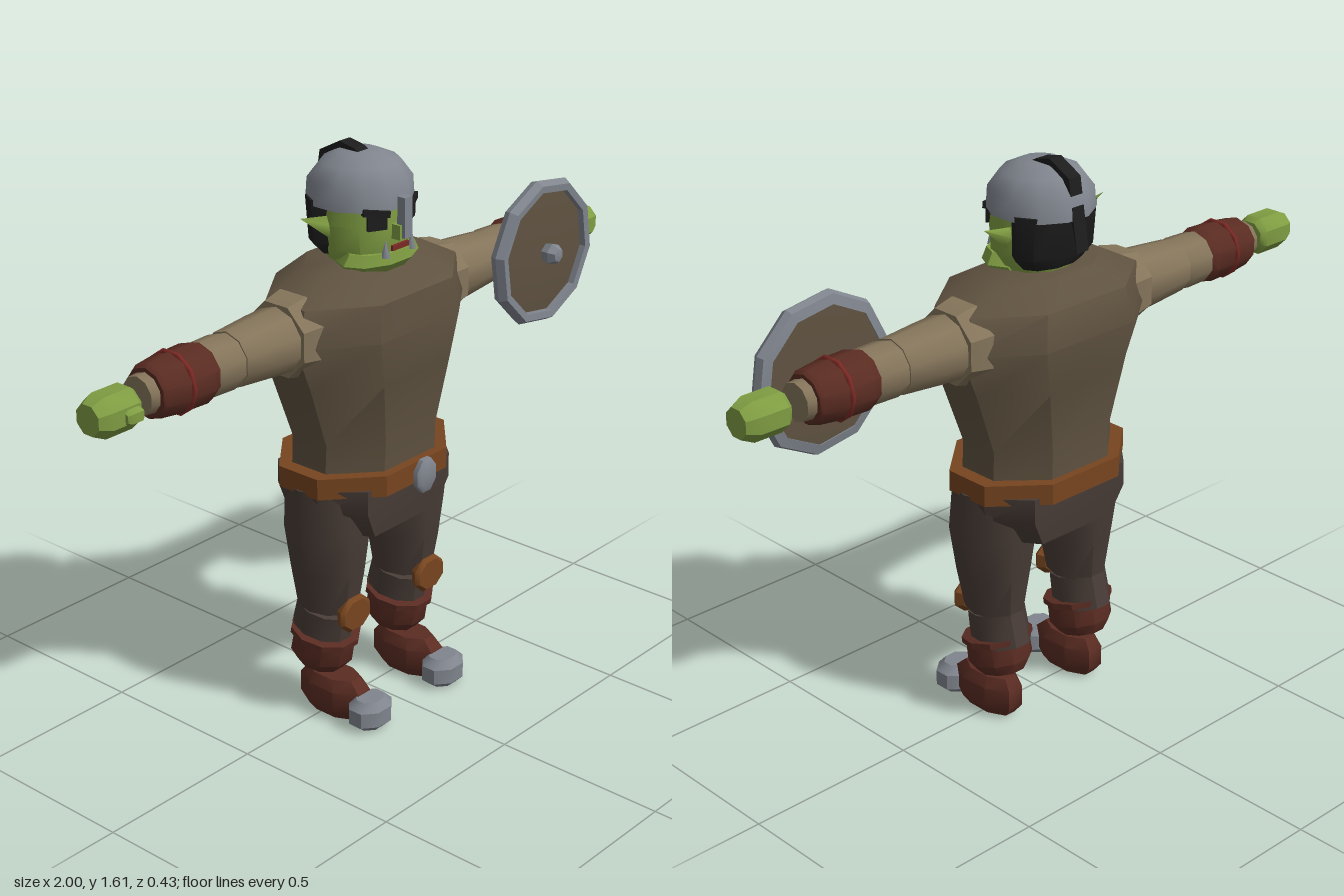
import * as THREE from 'three';
import { toCreasedNormals } from 'three/addons/utils/BufferGeometryUtils.js';

const mat = (name, color) => Object.assign(new THREE.MeshStandardMaterial({ color }), { name });
const M = {
  skin: mat('green skin', 0x7f9d42), vest: mat('brown vest', 0x5f5240),
  sleeve: mat('tan cloth', 0x84745a), pants: mat('dark trousers', 0x483c36),
  boot: mat('oxblood leather', 0x5a2c22), belt: mat('tan leather', 0x77451f),
  metal: mat('grey metal', 0x80858e), black: mat('black hair', 0x1d1d1d),
  red: mat('red cord', 0x7d2a25),
};

// Closed solid through a stack of rings; each ring is a list of [x, y, z]
function loft(rings, crease = 0.7) {
  const n = rings[0].length, pos = rings.flat(2), idx = [];
  const centre = (r) => {
    [0, 1, 2].forEach((k) => pos.push(r.reduce((s, p) => s + p[k], 0) / n));
    return pos.length / 3 - 1;
  };
  const lo = centre(rings[0]), hi = centre(rings[rings.length - 1]), top = (rings.length - 1) * n;
  for (let i = 0; i < n; i++) {
    const j = (i + 1) % n;
    for (let r = 0; r < top; r += n) idx.push(r + i, r + j, r + n + j, r + i, r + n + j, r + n + i);
    idx.push(lo, j, i, hi, top + i, top + j);
  }
  const g = new THREE.BufferGeometry();
  g.setAttribute('position', new THREE.Float32BufferAttribute(pos, 3));
  g.setIndex(idx);
  return toCreasedNormals(g, crease);
}

// Oval solid from rows of [y, half width, front z, back z]
const oval = (rows, n = 10, crease) => loft(rows.map(([y, rx, zf, zb]) =>
  Array.from({ length: n }, (_, i) => {
    const t = ((i + 0.5) / n) * Math.PI * 2;
    return [rx * Math.sin(t), y, (zf + zb) / 2 + ((zf - zb) / 2) * Math.cos(t)];
  })), crease);

// Eight-sided body solid from rows of [y, half width, front z, back z, front half width]
const body = (rows, crease) => loft(rows.map(([y, h, f, b, w = h * 0.47]) => [
  [w, y, f], [h, y, f * 0.3], [h, y, b * 0.42], [w, y, b],
  [-w, y, b], [-h, y, b * 0.42], [-h, y, f * 0.3], [-w, y, f]]), crease);

// Limb piece along x from rows of [x, radius], mirrored by side
const limb = (rows, side, n = 10) =>
  oval(rows.map(([x, r]) => [x, r, r, -r]), n).rotateZ(-side * Math.PI / 2);

function add(parent, name, geo, material, x = 0, y = 0, z = 0) {
  const m = new THREE.Mesh(geo, material);
  m.name = name;
  m.position.set(x, y, z);
  parent.add(m);
  return m;
}
function group(parent, name, x = 0, y = 0, z = 0) {
  const g = new THREE.Group();
  g.name = name;
  g.position.set(x, y, z);
  parent.add(g);
  return g;
}
const box = (w, h, d) => new THREE.BoxGeometry(w, h, d);

function buildBody(root) {
  const g = group(root, 'body');
  add(g, 'vest', body([
    [0.72, 0.225, 0.15, -0.18], [0.84, 0.22, 0.155, -0.18], [1.02, 0.285, 0.175, -0.2],
    [1.15, 0.34, 0.185, -0.215], [1.25, 0.305, 0.175, -0.2], [1.312, 0.19, 0.07, -0.135]]), M.vest);
  add(g, 'hips', body([[0.57, 0.2, 0.14, -0.17, 0.13], [0.65, 0.25, 0.15, -0.18, 0.17],
    [0.72, 0.265, 0.15, -0.18, 0.17]]), M.pants);
  add(g, 'belt', body([[0.7, 0.265, 0.178, -0.203], [0.76, 0.265, 0.178, -0.203]], 0.3), M.belt);
  add(g, 'buckle', oval([[-0.014, 0.03, 0.04, -0.04], [-0.007, 0.042, 0.052, -0.052],
    [0.007, 0.042, 0.052, -0.052], [0.014, 0.03, 0.04, -0.04]], 8).rotateX(Math.PI / 2),
    M.metal, 0, 0.73, 0.205);
}

function buildLeg(root, side) {
  const g = group(root, side > 0 ? 'leftLeg' : 'rightLeg', side * 0.159);
  add(g, 'thigh', oval([[0.33, 0.077, 0.085, -0.1], [0.45, 0.1, 0.105, -0.115],
    [0.58, 0.12, 0.12, -0.13], [0.71, 0.112, 0.11, -0.13]]), M.pants);
  add(g, 'shin', oval([[-0.06, 0.078, 0.09, -0.095], [0.04, 0.075, 0.085, -0.09]]),
    M.pants, 0, 0.285, -0.02).rotation.x = 0.2;
  add(g, 'kneePatch', oval([[-0.016, 0.05, 0.045, -0.045], [0.006, 0.064, 0.056, -0.056],
    [0.018, 0.055, 0.045, -0.045]], 8).rotateX(Math.PI / 2), M.belt, 0, 0.33, 0.085);
  // Tilted boot shaft with its folded cuff
  const shaft = group(g, 'bootShaft', 0, 0.19, -0.027);
  shaft.rotation.x = 0.2;
  add(shaft, 'shaft', oval([[-0.05, 0.065, 0.07, -0.07], [-0.015, 0.09, 0.092, -0.092],
    [0.055, 0.088, 0.09, -0.09]]), M.boot);
  add(shaft, 'cuff', oval([[0.043, 0.1, 0.1, -0.1], [0.06, 0.1, 0.1, -0.1]], 10, 0.6), M.boot);
  add(g, 'foot', oval([[0, 0.045, 0.11, -0.075], [0.03, 0.066, 0.135, -0.1],
    [0.09, 0.066, 0.135, -0.1], [0.12, 0.048, 0.1, -0.075]], 8), M.boot);
  add(g, 'toeCap', oval([[0, 0.045, 0.185, 0.11], [0.02, 0.07, 0.206, 0.09],
    [0.065, 0.07, 0.206, 0.09], [0.088, 0.045, 0.185, 0.11]], 8), M.metal);
}

function buildArm(root, side) {
  const g = group(root, side > 0 ? 'leftArm' : 'rightArm', 0, 1.163, -0.02);
  add(g, 'shoulder', limb([[0.23, 0.105], [0.27, 0.119], [0.335, 0.105]], side, 8), M.sleeve);
  add(g, 'upperSleeve', limb([[0.28, 0.094], [0.4, 0.087], [0.518, 0.077]], side), M.sleeve);
  add(g, 'lowerSleeve', limb([[0.5, 0.07], [0.54, 0.077], [0.64, 0.074]], side), M.sleeve);
  add(g, 'bracer', limb([[0.61, 0.074], [0.635, 0.083], [0.73, 0.08], [0.79, 0.073], [0.8, 0.066]], side), M.boot);
  add(g, 'bracerCord', new THREE.TorusGeometry(0.081, 0.007, 6, 10).rotateY(Math.PI / 2), M.red, side * 0.71);
  add(g, 'sleeveEnd', limb([[0.78, 0.056], [0.828, 0.052]], side), M.sleeve);
  add(g, 'hand', limb([[0.863, 0.045], [0.88, 0.059], [0.965, 0.059], [1, 0.042]], side, 8), M.skin, 0, -0.005, 0.01);
  add(g, 'thumb', limb([[0.875, 0.018], [0.885, 0.025], [0.918, 0.025], [0.928, 0.018]], side, 6),
    M.skin, 0, -0.01, 0.058);
}

function buildShield(root) {
  const g = group(root, 'shield', 0.667, 1.162, 0.05);
  const turned = (pts, n) => toCreasedNormals(new THREE.LatheGeometry(
    pts.map(([r, y]) => new THREE.Vector2(r, y)), n).rotateX(Math.PI / 2).rotateZ(0.16), 0.4);
  add(g, 'shieldBoard', turned([[0, 0], [0.19, 0.008], [0.19, 0.03], [0, 0.048]], 10), M.vest);
  add(g, 'shieldRim', turned([[0.186, 0.004], [0.213, 0.01], [0.22, 0.03], [0.207, 0.052],
    [0.186, 0.05], [0.186, 0.004]], 10), M.metal);
  add(g, 'shieldBoss', turned([[0, 0.03], [0.026, 0.04], [0.033, 0.07], [0.02, 0.09], [0, 0.094]], 6), M.metal);
}

function buildHead(root) {
  const g = group(root, 'head');
  add(g, 'face', oval([[1.3, 0.1, 0.09, -0.1], [1.35, 0.122, 0.108, -0.12],
    [1.42, 0.13, 0.11, -0.135], [1.5, 0.12, 0.1, -0.13]]), M.skin);
  add(g, 'jaw', oval([[1.295, 0.115, 0.1, -0.06], [1.32, 0.135, 0.12, -0.05], [1.35, 0.115, 0.116, -0.04]]), M.skin);
  add(g, 'nose', box(0.046, 0.04, 0.04), M.skin, 0, 1.405, 0.112);
  add(g, 'mouth', box(0.064, 0.014, 0.008), M.red, 0, 1.362, 0.112);
  add(g, 'hair', oval([[1.325, 0.1, -0.01, -0.12], [1.36, 0.135, 0, -0.14], [1.48, 0.14, 0, -0.15]]), M.black);
  add(g, 'helmet', oval([[1.465, 0.145, 0.117, -0.17], [1.525, 0.142, 0.112, -0.165],
    [1.57, 0.108, 0.08, -0.13], [1.594, 0.055, 0.03, -0.085]], 12, 0.9), M.metal);
  add(g, 'noseGuard', box(0.03, 0.11, 0.026), M.metal, 0, 1.445, 0.128);
  for (const s of [1, -1]) {
    add(g, 'eye', box(0.055, 0.042, 0.009), M.black, s * 0.068, 1.437, 0.092).rotation.y = s * 0.45;
    add(g, 'brow', box(0.075, 0.018, 0.016), M.black, s * 0.072, 1.463, 0.092).rotation.set(0, s * 0.5, s * 0.15);
    add(g, 'tusk', new THREE.ConeGeometry(0.013, 0.05, 5), M.metal, s * 0.052, 1.366, 0.108);
    // Pointed ear swept outward, up and back
    const ear = add(g, 'ear', new THREE.ConeGeometry(0.032, 0.12, 4).scale(1, 1, 0.4),
      M.skin, s * 0.162, 1.432, -0.035);
    ear.rotation.set(-0.25, 0, -s * 1.15);
  }
  // Crest running over the helmet and hanging behind
  const crest = new THREE.Shape([[0.0, 1.585], [0.03, 1.602], [0.08, 1.612], [0.15, 1.575],
    [0.182, 1.38], [0.15, 1.5], [0.1, 1.57]].map(([x, y]) => new THREE.Vector2(x, y)));
  add(g, 'crest', new THREE.ExtrudeGeometry(crest, { depth: 0.042, bevelEnabled: false })
    .rotateY(Math.PI / 2).translate(-0.021, 0, 0), M.black);
}

export function createModel() {
  const root = new THREE.Group();
  root.name = 'armouredWarrior';
  buildBody(root);
  buildHead(root);
  buildShield(root);
  for (const side of [1, -1]) {
    buildLeg(root, side);
    buildArm(root, side);
  }
  return root;
}
